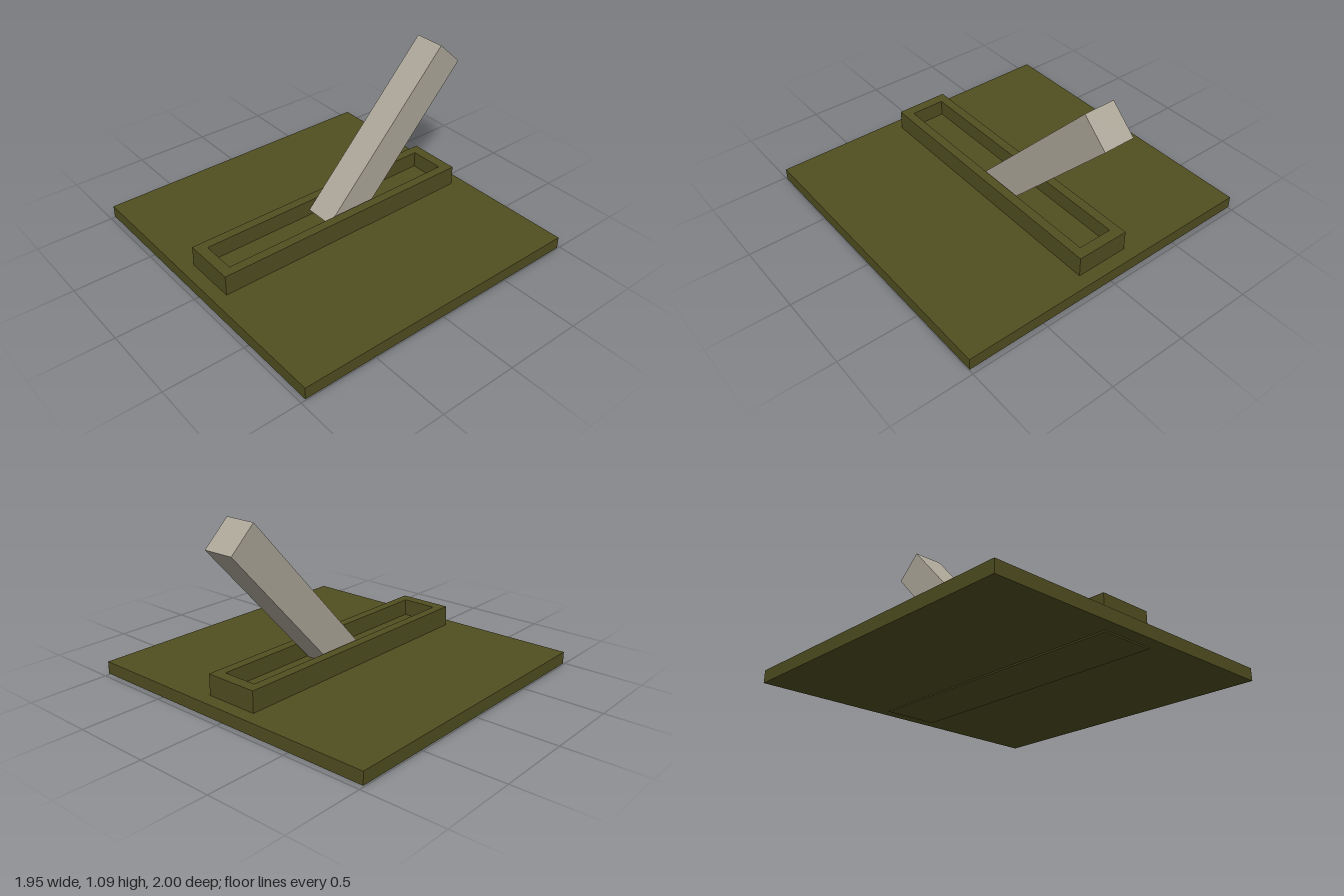
import * as THREE from 'three';

export function createModel() {
  const model = new THREE.Group();
  model.name = 'leverSwitch';

  const olive = new THREE.MeshStandardMaterial({ color: 0x504e20 });
  olive.name = 'olive';
  const stone = new THREE.MeshStandardMaterial({ color: 0xaca698 });
  stone.name = 'warm grey';

  const add = (name, geometry, material, x, y, z = 0) => {
    const mesh = new THREE.Mesh(geometry, material);
    mesh.name = name;
    mesh.position.set(x, y, z);
    model.add(mesh);
    return mesh;
  };

  // Wide mounting plate
  add('basePlate', new THREE.BoxGeometry(1.946, 0.077, 2), olive, 0, 0.0465);

  // Raised slot housing: a rectangular rim over a solid floor
  const rectangle = (Type, w, d) => new Type([
    new THREE.Vector2(-w, -d), new THREE.Vector2(w, -d),
    new THREE.Vector2(w, d), new THREE.Vector2(-w, d),
  ]);
  const rimShape = rectangle(THREE.Shape, 0.888, 0.172);
  rimShape.holes.push(rectangle(THREE.Path, 0.82, 0.113));
  const rim = new THREE.ExtrudeGeometry(rimShape, { depth: 0.215, bevelEnabled: false });
  rim.rotateX(-Math.PI / 2);
  add('slotRim', rim, olive, 0, 0);
  add('slotFloor', new THREE.BoxGeometry(1.64, 0.11, 0.226), olive, 0, 0.055);

  // Lever leaning towards +x, its lower end sunk in the slot
  const lever = add('lever', new THREE.BoxGeometry(0.22, 1.273, 0.2), stone, 0.425, 0.553);
  lever.rotation.z = -Math.atan2(0.865, 0.934);

  return model;
}
